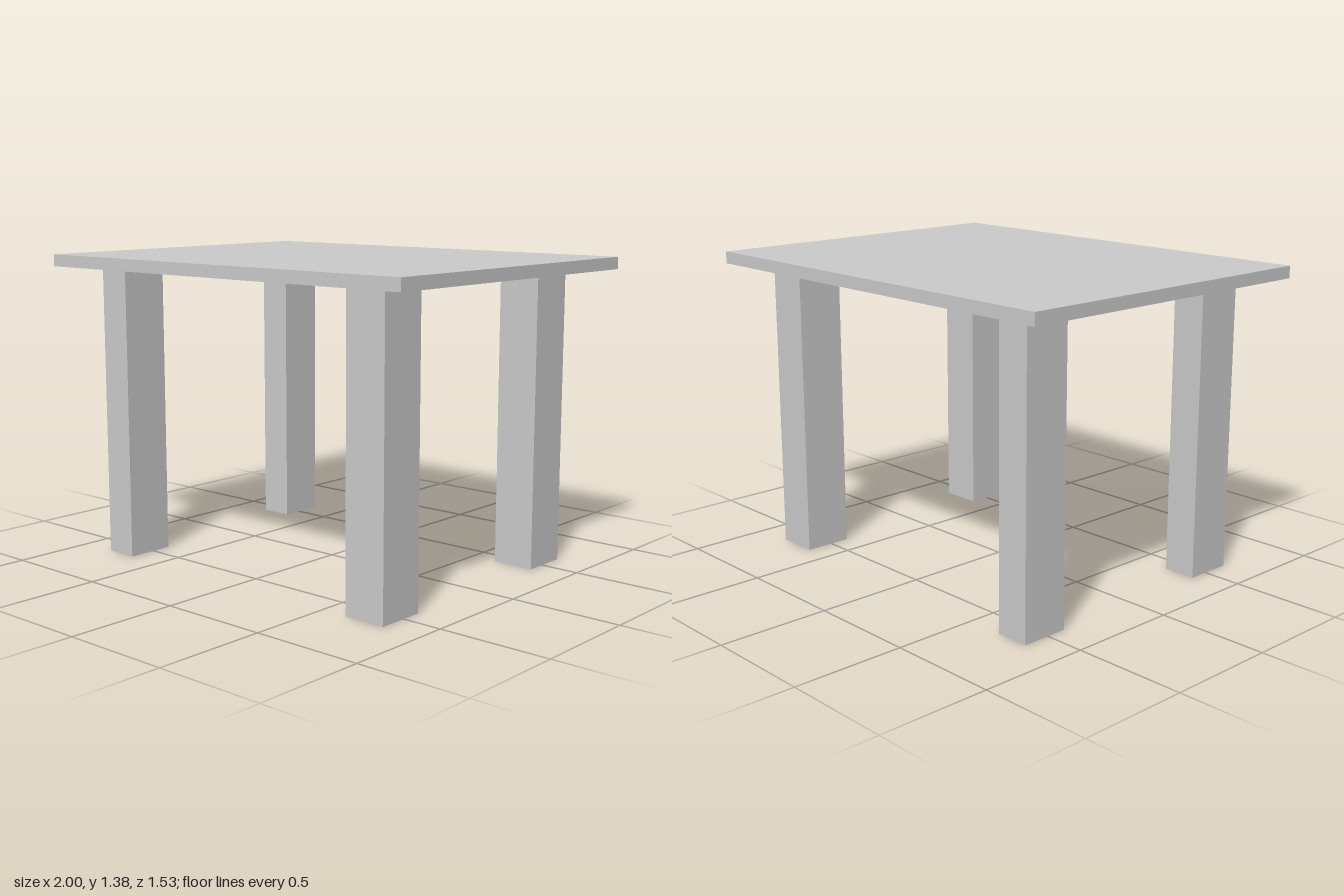
import * as THREE from 'three';

const material = new THREE.MeshStandardMaterial({ color: 0xcccccc, flatShading: true });

// Box given by its extents along each axis
function block(name, [x0, x1], [y0, y1], [z0, z1]) {
  const mesh = new THREE.Mesh(new THREE.BoxGeometry(x1 - x0, y1 - y0, z1 - z0), material);
  mesh.position.set((x0 + x1) / 2, (y0 + y1) / 2, (z0 + z1) / 2);
  mesh.name = name;
  return mesh;
}

export function createModel() {
  const table = new THREE.Group();
  table.name = 'table';

  // Thin rectangular top
  const underside = 1.323;
  table.add(block('tableTop', [-1, 1], [underside, 1.377], [-0.763, 0.763]));

  // Four square-cut legs; the +x pair is slightly wider
  const sides = { Left: [0.626, 0.819], Right: [-0.821, -0.669] };
  const rows = { front: [0.408, 0.629], back: [-0.626, -0.409] };
  for (const [row, z] of Object.entries(rows)) {
    for (const [side, x] of Object.entries(sides)) {
      table.add(block(`${row}${side}Leg`, x, [0, underside], z));
    }
  }
  return table;
}
